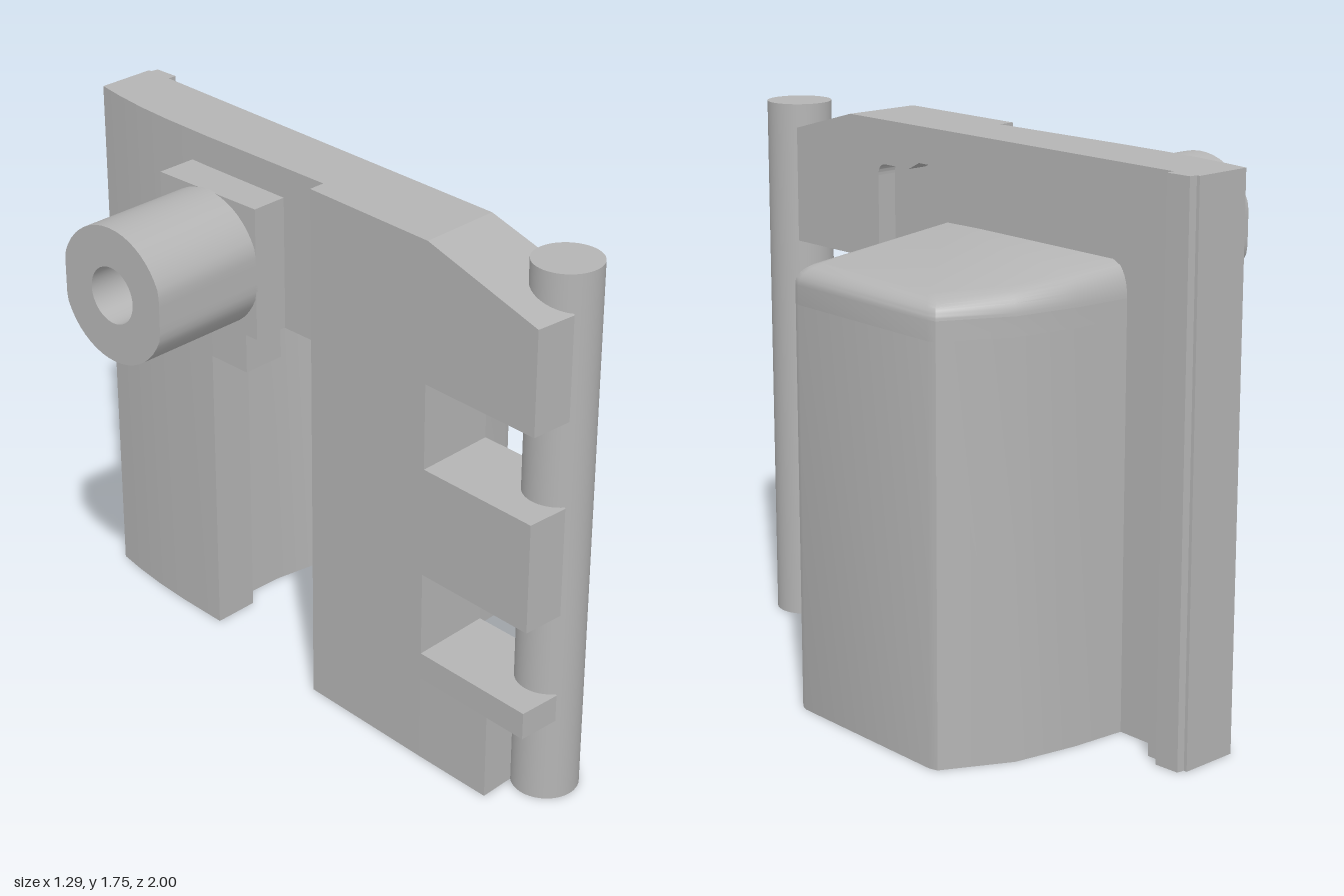
import * as THREE from 'three';
import { toCreasedNormals } from 'three/addons/utils/BufferGeometryUtils.js';

const grey = new THREE.MeshStandardMaterial({ color: 0xb4b4b4 });
grey.name = 'plainGrey';

// slanted outer face of the plate, and the depth of its recess
const faceX = (z) => 0.07 - 0.056 * z;
const RECESS = 0.07;
const floorX = (z) => faceX(z) - RECESS;

// outline given as [x, z], raised from y0 to y1
function slab(points, y0, y1, steps = 1) {
  const shape = new THREE.Shape(points.map(([x, z]) => new THREE.Vector2(x, -z)));
  const g = new THREE.ExtrudeGeometry(shape, { depth: y1 - y0, bevelEnabled: false, steps });
  g.rotateX(-Math.PI / 2);
  g.translate(0, y0, 0);
  return g;
}

// shape drawn in (-z, y), extruded towards +x from x0
function sideways(shape, x0, depth) {
  const g = new THREE.ExtrudeGeometry(shape, { depth, bevelEnabled: false, curveSegments: 24 });
  g.rotateY(Math.PI / 2);
  g.translate(x0, 0, 0);
  return g;
}

// move every vertex by a rule
function warp(g, rule) {
  const p = g.attributes.position;
  const v = new THREE.Vector3();
  for (let i = 0; i < p.count; i++) {
    v.fromBufferAttribute(p, i);
    rule(v);
    p.setXYZ(i, v.x, v.y, v.z);
  }
  g.computeVertexNormals();
  return g;
}

export function createModel() {
  const model = new THREE.Group();
  const add = (name, g, parent = model) => {
    const mesh = new THREE.Mesh(toCreasedNormals(g, 0.55), grey);
    mesh.name = name;
    parent.add(mesh);
    return mesh;
  };

  // back layer of the plate, in pieces around the rear opening
  const plate = new THREE.Group();
  plate.name = 'plate';
  model.add(plate);
  const band = (name, back, y0, y1) => {
    const z0 = back[0][1];
    const z1 = back[back.length - 1][1];
    add(name, slab([...back, [floorX(z1), z1], [floorX(z0), z0]], y0, y1), plate);
  };
  band('rearPanel', [[-0.07, -1], [-0.09, -0.9], [-0.108, -0.78], [-0.12, -0.65], [-0.13, -0.46]], 0, 1.75);
  band('openingCorner', [[-0.13, -0.46], [-0.134, -0.3]], 1.0, 1.22);
  band('bossWall', [[-0.13, -0.46], [-0.145, 0.05]], 1.22, 1.75);
  band('frontPanel', [[-0.2, 0.05], [-0.232, 0.54]], 0, 1.75);

  // raised face layer with the rounded recess
  const arch = new THREE.Shape();
  arch.moveTo(-0.54, 0);
  arch.lineTo(-0.4, 0);
  arch.lineTo(-0.4, 1.57);
  arch.quadraticCurveTo(-0.4, 1.61, -0.36, 1.61);
  arch.lineTo(-0.25, 1.61);
  arch.lineTo(-0.2, 1.635);
  arch.lineTo(0.6, 1.635);
  arch.absarc(0.6, 1.395, 0.24, Math.PI / 2, 0, true);
  arch.lineTo(0.84, 0);
  arch.lineTo(1, 0);
  arch.lineTo(1, 1.75);
  arch.lineTo(-0.54, 1.75);
  add('recessFrame', warp(sideways(arch, 0, RECESS), (v) => { v.x += floorX(v.z); }), plate);
  add('endLip', slab([[0.05, -1], [0.05, -0.9], [0.13, -0.9], [0.15, -0.9], [0.15, -0.985]], 0, 1.75), plate);

  // hinge: pin, knuckles and lower web
  const hinge = new THREE.Group();
  hinge.name = 'hinge';
  model.add(hinge);
  const pin = new THREE.CylinderGeometry(0.105, 0.105, 1.75, 48);
  pin.translate(-0.05, 0.875, 0.893);
  add('hingePin', pin, hinge);
  const knuckle = [[-0.232, 0.54], [-0.26, 0.97], [-0.12, 0.98], [-0.05, 0.9], [0.025, 0.82], [faceX(0.54), 0.54]];
  for (const [y0, y1] of [[0.29, 0.38], [0.66, 1.02], [1.3, 1.75]]) {
    const g = slab(knuckle, y0, y1);
    if (y1 > 1.7) warp(g, (v) => { if (v.y > 1.7) v.y -= 0.273 * (v.z - 0.54); });
    add('knuckle', g, hinge);
  }
  add('lowerWeb', slab([[-0.232, 0.54], [-0.247, 0.82], [0.025, 0.82], [faceX(0.54), 0.54]], 0, 0.29), hinge);

  // hollow housing, open below and at the back
  const outer = [[0, 0.195], [0.56, 0.18], [0.588, 0.172], [0.6, 0.145], [0.645, -0.46], [0.638, -0.488],
    [0.43, -0.6], [0.22, -0.64], [0, -0.66]];
  const inner = [[0, -0.52], [0.2, -0.51], [0.36, -0.48], [0.5, -0.41], [0.46, 0.07], [0, 0.05]];
  const housing = new THREE.Group();
  housing.name = 'housing';
  model.add(housing);
  add('housingWalls', slab([...outer, ...inner], 0, 1.28), housing);
  add('housingRoof', slab(outer, 1.28, 1.34), housing);
  // rounded, sloping cap
  const y0 = 1.34;
  const height = 0.11;
  add('housingCap', warp(slab(outer, y0, y0 + height, 8), (v) => {
    const u = (v.y - y0) / height;
    const inset = 0.06 * (1 - Math.sqrt(Math.max(0, 1 - u * u)));
    const reach = THREE.MathUtils.clamp(v.x / 0.6, 0, 1);
    v.z += v.z > -0.23 ? -inset : inset;
    v.x -= inset * reach * reach;
    v.y -= 0.09 * u * v.x;
  }), housing);

  // bored boss on its mounting block
  const boss = new THREE.Group();
  boss.name = 'boss';
  model.add(boss);
  const block = new THREE.BoxGeometry(0.16, 0.43, 0.41);
  block.translate(-0.18, 1.437, -0.325);
  add('bossBlock', block, boss);
  const ring = new THREE.Shape();
  ring.absarc(0.325, 1.438, 0.217, 0, Math.PI * 2);
  const bore = new THREE.Path();
  bore.absarc(0.325, 1.438, 0.09, 0, Math.PI * 2, true);
  ring.holes.push(bore);
  add('bossTube', warp(sideways(ring, -0.65, 0.395), (v) => {
    v.z = THREE.MathUtils.clamp(v.z, -0.53, -0.12);
  }), boss);

  return model;
}
